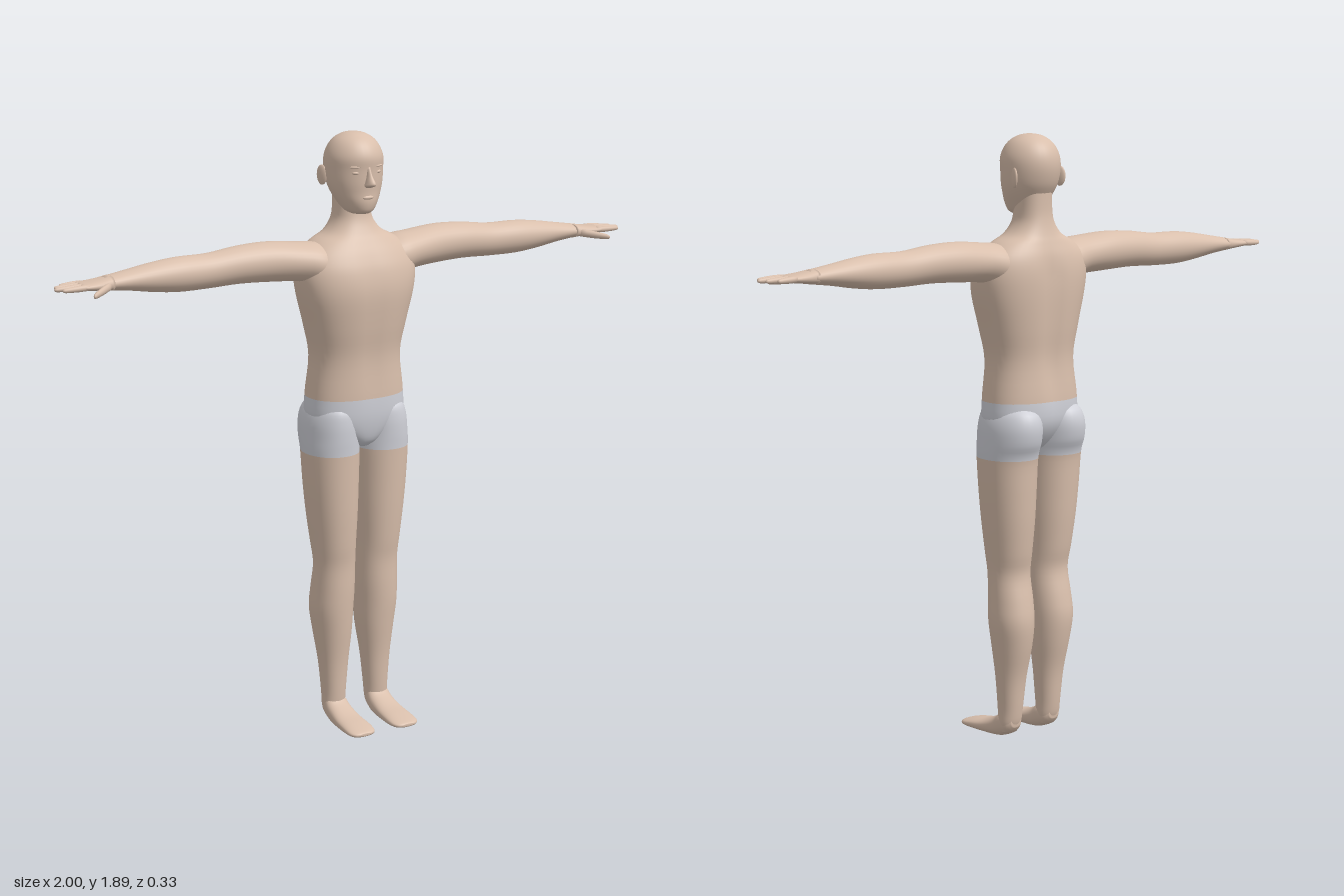
import * as THREE from 'three';

const skin = new THREE.MeshStandardMaterial({ color: 0xd9bfac });
skin.name = 'skin';
const cloth = new THREE.MeshStandardMaterial({ color: 0xd0d1d8 });
cloth.name = 'shorts cloth';

const spow = (c, p) => Math.sign(c) * Math.abs(c) ** p;

// Smooth closed loft. Rows are [t, u0, u1, v0, v1] with t ascending; (u, v, t) maps to
// (z, x, y), (y, z, x) or (x, y, z). isCloth(t) picks the colour of each band.
function loft(axis, rows, { sides = 32, steps = 4, power = 1, isCloth = () => false, warp } = {}) {
  const rings = [];
  const at = (i) => rows[Math.min(Math.max(i, 0), rows.length - 1)];
  for (let i = 0; i < rows.length - 1; i++) {
    for (let s = 0; s < steps; s++) {
      const f = s / steps;
      rings.push(rows[i].map((b, k) => {
        const a = at(i - 1)[k], c = at(i + 1)[k], d = at(i + 2)[k];
        return b + 0.5 * f * (c - a + f * (2 * a - 5 * b + 4 * c - d + f * (3 * (b - c) + d - a)));
      }));
    }
  }
  rings.push(rows[rows.length - 1]);
  const pos = [], index = [];
  const add = (u, v, t) => {
    const p = axis === 'y' ? [v, t, u] : axis === 'x' ? [t, u, v] : [u, v, t];
    if (warp) warp(p);
    pos.push(...p);
  };
  for (const [t, u0, u1, v0, v1] of rings) {
    for (let j = 0; j < sides; j++) {
      const a = (j / sides) * Math.PI * 2;
      add((u0 + u1) / 2 + (u1 - u0) / 2 * spow(Math.cos(a), power),
        (v0 + v1) / 2 + (v1 - v0) / 2 * spow(Math.sin(a), power), t);
    }
  }
  const last = rings.length - 1;
  for (const r of [rings[0], rings[last]]) add((r[1] + r[2]) / 2, (r[3] + r[4]) / 2, r[0]);
  const geo = new THREE.BufferGeometry();
  const low = rings.length * sides;
  const band = (start, t) => geo.addGroup(start, index.length - start, isCloth(t) ? 1 : 0);
  for (let i = 0; i < last; i++) {
    const start = index.length;
    for (let j = 0; j < sides; j++) {
      const k = (j + 1) % sides;
      const a = i * sides + j, b = i * sides + k, c = a + sides, d = b + sides;
      index.push(a, b, c, b, d, c);
      if (i === 0) index.push(low, b, a);
      if (i === last - 1) index.push(low + 1, c, d);
    }
    band(start, (rings[i][0] + rings[i + 1][0]) / 2);
  }
  geo.setAttribute('position', new THREE.Float32BufferAttribute(pos, 3));
  geo.setIndex(index);
  geo.computeVertexNormals();
  return geo;
}

function ball(x, y, z, rx, ry, rz, turn = 0) {
  return new THREE.SphereGeometry(1, 18, 12).scale(rx, ry, rz).rotateY(turn).translate(x, y, z);
}

function mirrored(geo) {
  const g = geo.clone().scale(-1, 1, 1);
  const ix = g.index.array;
  for (let i = 0; i < ix.length; i += 3) [ix[i], ix[i + 1]] = [ix[i + 1], ix[i]];
  return g;
}

export function createModel() {
  const model = new THREE.Group();
  model.name = 'figure';
  const add = (name, geo) => {
    const mesh = new THREE.Mesh(geo, geo.groups.length ? [skin, cloth] : skin);
    mesh.name = name;
    model.add(mesh);
  };
  const pair = (name, geo) => {
    add('left ' + name, geo);
    add('right ' + name, mirrored(geo));
  };

  // Torso with neck: [y, back, front, half width]
  const torso = [
    [0.915, -0.07, 0.03, 0.03], [0.94, -0.105, 0.055, 0.07], [1.0, -0.143, 0.07, 0.155],
    [1.075, -0.15, 0.074, 0.16], [1.2, -0.142, 0.072, 0.147], [1.3, -0.15, 0.085, 0.166],
    [1.4, -0.156, 0.094, 0.192], [1.47, -0.155, 0.085, 0.2], [1.52, -0.147, 0.065, 0.185],
    [1.56, -0.133, 0.042, 0.14], [1.585, -0.124, 0.027, 0.092], [1.62, -0.115, 0.011, 0.064],
    [1.66, -0.11, 0.004, 0.056], [1.73, -0.11, 0, 0.054],
  ].map(([y, b, f, w]) => [y, b, f, -w, w]);
  add('torso', loft('y', torso, {
    sides: 48, power: 0.86, isCloth: (t) => t < 1.075,
    // Spine and breastbone grooves
    warp: (p) => {
      const fade = THREE.MathUtils.smoothstep(p[1], 1.0, 1.2) * (1 - THREE.MathUtils.smoothstep(p[1], 1.45, 1.58));
      const groove = fade * Math.exp(-((p[0] / 0.03) ** 2));
      if (p[2] < -0.09) p[2] += 0.012 * groove;
      else if (p[2] > 0.03) p[2] -= 0.004 * groove;
    },
  }));

  // Legs, buttocks and short trouser legs: [y, back, front, inner, outer]
  pair('leg', loft('y', [
    [0.02, -0.05, -0.01, 0.05, 0.108], [0.05, -0.067, -0.002, 0.042, 0.116], [0.1, -0.076, 0.003, 0.039, 0.117],
    [0.2, -0.088, 0.01, 0.03, 0.125], [0.3, -0.11, 0.022, 0.018, 0.138], [0.38, -0.12, 0.03, 0.013, 0.148],
    [0.45, -0.111, 0.034, 0.011, 0.146], [0.53, -0.096, 0.036, 0.012, 0.143], [0.6, -0.108, 0.045, 0.011, 0.15],
    [0.7, -0.121, 0.054, 0.006, 0.162], [0.8, -0.129, 0.06, 0.003, 0.171], [0.9, -0.137, 0.065, 0.001, 0.176],
    [0.95, -0.157, 0.068, 0.002, 0.175], [1.0, -0.164, 0.068, 0.004, 0.17], [1.04, -0.152, 0.06, 0.015, 0.155],
    [1.065, -0.12, 0.03, 0.04, 0.13],
  ], { power: 0.94, isCloth: (t) => t > 0.9 }));

  // Feet: [z, inner, outer, sole, top]
  pair('foot', loft('z', [
    [-0.066, 0.06, 0.098, 0.04, 0.075], [-0.05, 0.046, 0.112, 0.02, 0.09], [-0.02, 0.039, 0.118, 0.006, 0.088],
    [0.01, 0.036, 0.12, 0, 0.066], [0.06, 0.033, 0.124, 0, 0.046], [0.11, 0.031, 0.126, 0.001, 0.036],
    [0.145, 0.034, 0.124, 0.004, 0.028], [0.162, 0.045, 0.113, 0.007, 0.023], [0.168, 0.06, 0.098, 0.011, 0.019],
  ], { power: 0.85 }));

  // Arms: [x, bottom, top, back, front]
  pair('arm', loft('x', [
    [0.08, 1.44, 1.545, -0.115, 0.03], [0.14, 1.43, 1.562, -0.12, 0.045], [0.2, 1.447, 1.568, -0.113, 0.036],
    [0.3, 1.454, 1.576, -0.111, 0.018], [0.4, 1.458, 1.572, -0.106, 0.01], [0.5, 1.455, 1.56, -0.1, 0.004],
    [0.6, 1.455, 1.559, -0.1, 0.006], [0.68, 1.463, 1.551, -0.097, 0.002], [0.76, 1.476, 1.538, -0.09, -0.004],
    [0.84, 1.486, 1.525, -0.084, -0.006],
  ]));

  // Hands
  pair('palm', loft('x', [
    [0.82, 1.484, 1.528, -0.084, -0.005], [0.86, 1.489, 1.521, -0.085, 0], [0.895, 1.493, 1.517, -0.086, 0.002],
    [0.915, 1.496, 1.515, -0.084, 0.001], [0.922, 1.501, 1.51, -0.076, -0.007],
  ], { power: 0.8, sides: 24 }));
  const finger = (name, from, to, r) => pair(name, loft('x', [[0, 1], [0.4, 1], [0.85, 0.75], [0.97, 0.5], [1, 0.15]].map(([f, k]) => {
    const [x, y, z] = from.map((a, i) => a + (to[i] - a) * f);
    return [x, y - r * k, y + r * k, z - r * k, z + r * k];
  }), { sides: 12, steps: 2 }));
  [[-0.076, -0.079, 0.965], [-0.054, -0.057, 0.99], [-0.031, -0.031, 1], [-0.009, -0.007, 0.985]].forEach(([z0, z1, tip], i) =>
    finger('finger ' + (i + 1), [0.9, 1.506, z0], [tip, 1.504, z1], 0.0095));
  finger('thumb', [0.835, 1.502, -0.012], [0.912, 1.489, 0.047], 0.012);

  // Head: [y, back, front, half width]
  const head = [
    [1.645, -0.05, 0.032, 0.03], [1.655, -0.07, 0.044, 0.046], [1.68, -0.09, 0.051, 0.062], [1.71, -0.11, 0.051, 0.077],
    [1.74, -0.126, 0.053, 0.086], [1.78, -0.136, 0.054, 0.09], [1.815, -0.135, 0.056, 0.089], [1.845, -0.124, 0.045, 0.078],
    [1.868, -0.104, 0.025, 0.06], [1.883, -0.077, -0.002, 0.034], [1.888, -0.05, -0.026, 0.01],
  ].map(([y, b, f, w]) => [y, b, f, -w, w]);
  add('head', loft('y', head));

  // Face
  add('nose', loft('y', [
    [1.728, 0.04, 0.06, -0.01, 0.01], [1.735, 0.035, 0.08, -0.016, 0.016], [1.745, 0.035, 0.083, -0.013, 0.013],
    [1.765, 0.035, 0.068, -0.008, 0.008], [1.79, 0.035, 0.056, -0.006, 0.006],
  ], { sides: 16 }));
  add('lips', ball(0, 1.697, 0.046, 0.02, 0.007, 0.009));
  pair('eye', ball(0.038, 1.773, 0.038, 0.014, 0.006, 0.009, 0.4));
  pair('brow', ball(0.04, 1.791, 0.038, 0.02, 0.004, 0.009, 0.45));
  pair('ear', ball(0.091, 1.758, -0.073, 0.007, 0.031, 0.02, -0.35));

  return model;
}
